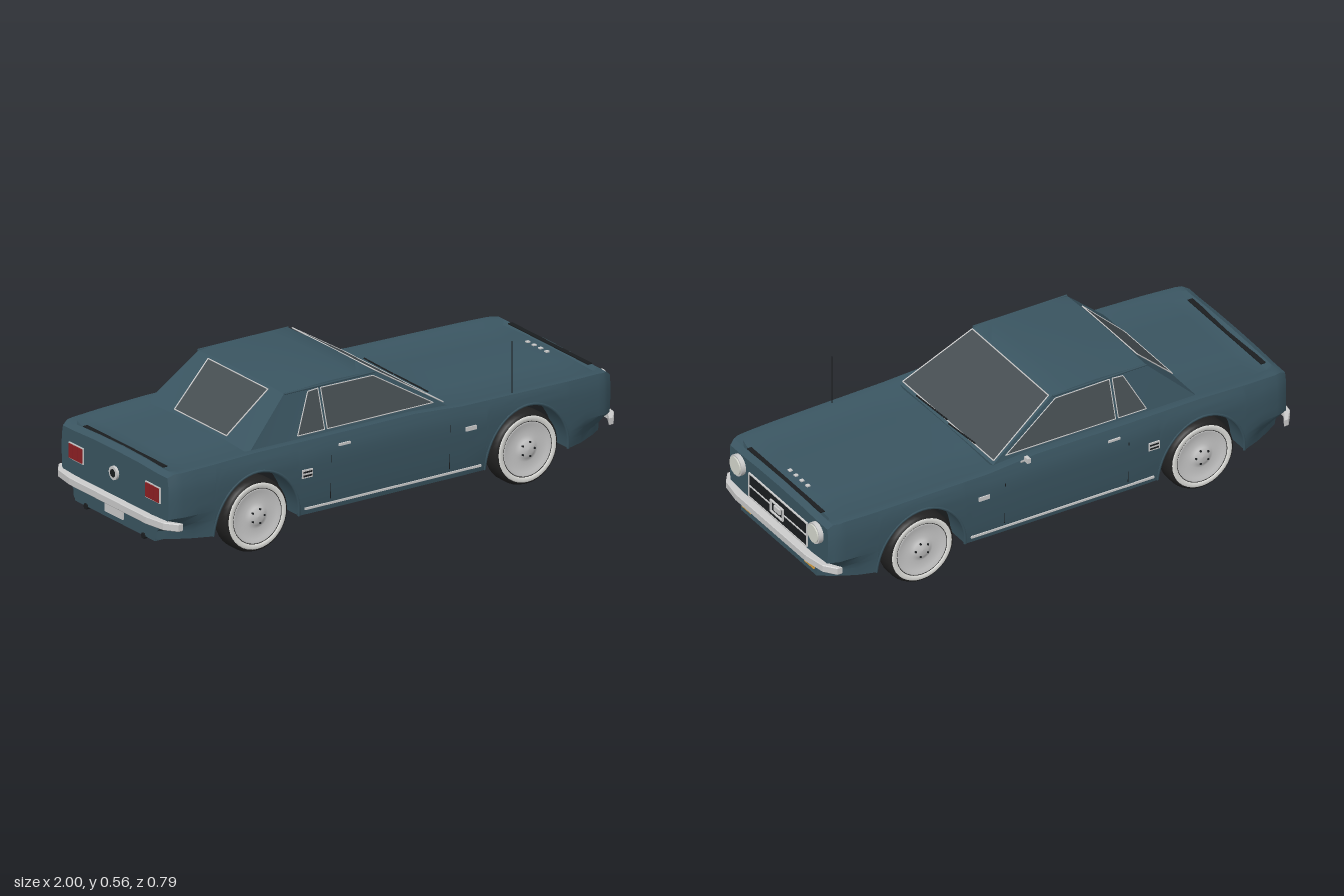
import * as THREE from 'three';
import { toCreasedNormals } from 'three/addons/utils/BufferGeometryUtils.js';

const mat = (color, side = THREE.FrontSide) => new THREE.MeshStandardMaterial({ color, side });
const paint = mat(0x3a5561), dark = mat(0x1b1e20), chrome = mat(0xcccccc), glass = mat(0x464e52, THREE.DoubleSide);
const rubber = mat(0x222222), white = mat(0xe4e4e0), amber = mat(0xd9a040), red = mat(0x8e2024), lens = mat(0xd8dad0);
const V = (x, y, z) => new THREE.Vector3(x, y, z);

// Piecewise-linear lookup in [[input, output], ...]
function lerpTable(table, t) {
  if (t <= table[0][0]) return table[0][1];
  for (let i = 1; i < table.length; i++) {
    const [a, va] = table[i - 1], [b, vb] = table[i];
    if (t <= b) return va + (vb - va) * (t - a) / (b - a);
  }
  return table[table.length - 1][1];
}

// Skin of closed cross-sections ordered along +x, with capped ends
function loft(sections, crease) {
  const pos = [], n = sections[0].length;
  const tri = (...p) => p.forEach(v => pos.push(v.x, v.y, v.z));
  for (let i = 0; i + 1 < sections.length; i++) {
    for (let j = 0; j < n; j++) {
      const k = (j + 1) % n, A = sections[i], B = sections[i + 1];
      tri(A[j], B[j], B[k]);
      tri(A[j], B[k], A[k]);
    }
  }
  [sections[0], sections[sections.length - 1]].forEach((s, end) => {
    const lo = Math.min(...s.map(p => p.y)), hi = Math.max(...s.map(p => p.y));
    const c = V(s[0].x, (lo + hi) / 2, 0);
    s.forEach((p, j) => end ? tri(c, s[(j + 1) % n], p) : tri(c, p, s[(j + 1) % n]));
  });
  const g = new THREE.BufferGeometry();
  g.setAttribute('position', new THREE.Float32BufferAttribute(pos, 3));
  return toCreasedNormals(g, crease);
}
const mirrored = half => [...half, ...half.slice(0, -1).reverse().map(p => V(p.x, p.y, -p.z))];

const axles = [-0.595, 0.585], ARCH = 0.185, FLOOR = 0.1;
const topY = x => lerpTable([[-0.965, 0.355], [-0.94, 0.368], [-0.6, 0.38], [0.1, 0.38], [0.3, 0.366], [0.9, 0.356], [0.945, 0.352], [0.965, 0.335]], x);
const halfW = x => lerpTable([[-0.965, 0.335], [-0.93, 0.355], [-0.8, 0.364], [-0.3, 0.372], [0.3, 0.372], [0.8, 0.364], [0.93, 0.355], [0.965, 0.335]], x);
function sideZ(x, y) {
  const profile = lerpTable([[0.1, 0.965], [0.15, 0.985], [0.25, 1], [0.31, 1], [0.345, 0.985], [0.38, 0.955]], y);
  const tuck = lerpTable([[0.8, 0], [0.95, 0.2]], Math.abs(x)) * lerpTable([[0.14, 1], [0.19, 0]], y);
  return halfW(x) * profile * (1 - tuck);
}

function bodyGeometry() {
  const stations = [-0.965, -0.94, -0.915, -0.85, -0.3, -0.1, 0.1, 0.3, 0.84, 0.9, 0.925, 0.945, 0.965].map(x => [x, FLOOR]);
  for (const cx of axles) {
    for (let i = 0; i <= 18; i++) {
      const a = Math.PI * i / 18;
      stations.push([cx - ARCH * Math.cos(a), FLOOR + 0.212 * Math.sin(a)]);
    }
  }
  stations.sort((a, b) => a[0] - b[0]);
  return loft(stations.map(([x, lo]) => {
    const hi = topY(x), half = [V(x, lo, 0.25)];
    for (let j = 0; j <= 8; j++) {
      const y = lo + (hi - lo) * j / 8;
      half.push(V(x, y, sideZ(x, y)));
    }
    const w = halfW(x), drop = Math.abs(x) > 0.93 ? 0 : 0.012;
    half.push(V(x, hi, w - 0.045), V(x, hi - drop, w - 0.075), V(x, hi - drop + 0.005, 0.15), V(x, hi - drop + 0.007, 0));
    return mirrored(half);
  }), 0.5);
}

// Cabin: base y and width are fixed, the upper edge follows [x, y, half width, crown]
function cabinGeometry() {
  const upper = [[-0.605, 0.366, 0.319, 0.001], [-0.415, 0.54, 0.268, 0.008], [-0.3, 0.546, 0.267, 0.009], [-0.2, 0.548, 0.266, 0.009], [-0.1, 0.546, 0.267, 0.008], [-0.02, 0.541, 0.268, 0.006], [0.26, 0.366, 0.319, 0.001]];
  return loft(upper.map(([x, y, z, c]) => mirrored([V(x, 0.35, 0.322), V(x, y, z), V(x, y + c * 0.8, z * 0.55), V(x, y + c, 0)])), 0.5);
}

export function createModel() {
  const root = new THREE.Group();
  const car = new THREE.Group();
  car.name = 'car';
  car.position.z = 0.0175;
  root.add(car);

  const add = (name, geo, material, x = 0, y = 0, z = 0, parent = car) => {
    const m = new THREE.Mesh(geo, material);
    m.name = name;
    m.position.set(x, y, z);
    parent.add(m);
    return m;
  };
  const box = (name, material, w, h, d, x, y, z) => add(name, new THREE.BoxGeometry(w, h, d), material, x, y, z);
  const rod = (name, a, b, r, material) => {
    const m = add(name, new THREE.CylinderGeometry(r, r, a.distanceTo(b), 6), material);
    m.position.copy(a).add(b).multiplyScalar(0.5);
    m.quaternion.setFromUnitVectors(V(0, 1, 0), b.clone().sub(a).normalize());
    return m;
  };
  // Disc facing along the car
  const disc = (name, r, depth, material, x, y, z) => {
    const m = add(name, new THREE.CylinderGeometry(r, r, depth, 28), material, x, y, z);
    m.rotation.z = Math.PI / 2;
    return m;
  };
  // Flat pane with a bright surround
  const pane = (name, pts, trim = 0.0025) => {
    const g = new THREE.BufferGeometry().setFromPoints(pts);
    g.setIndex(pts.slice(2).flatMap((_, i) => [0, i + 1, i + 2]));
    g.computeVertexNormals();
    add(name, g, glass);
    pts.forEach((p, i) => rod(name + 'Trim', p, pts[(i + 1) % pts.length], trim, chrome));
  };

  // Body shell, cabin and underside
  add('body', bodyGeometry(), paint);
  add('cabin', cabinGeometry(), paint);
  box('chassis', dark, 1.89, 0.2, 0.51, 0, 0.198, 0);
  box('floor', dark, 0.77, 0.03, 0.7, -0.005, 0.112, 0);
  box('rearDeckGap', dark, 0.02, 0.004, 0.5, -0.921, 0.366, 0);
  box('hoodGap', dark, 0.018, 0.004, 0.5, 0.935, 0.356, 0);

  // Windshield and rear window
  pane('windshield', [V(0.252, 0.378, 0.31), V(-0.01, 0.541, 0.26), V(-0.01, 0.541, -0.26), V(0.252, 0.378, -0.31)]);
  pane('rearWindow', [V(-0.592, 0.386, 0.163), V(-0.592, 0.386, -0.163), V(-0.428, 0.537, -0.187), V(-0.428, 0.537, 0.187)]);
  rod('wiper', V(0.262, 0.381, 0.2), V(0.256, 0.386, 0.0), 0.003, dark);
  rod('wiper', V(0.262, 0.381, -0.02), V(0.256, 0.388, -0.19), 0.003, dark);

  for (const s of [1, -1]) {
    // Side glass lies just off the sloping cabin wall
    const wall = (x, y) => V(x, y, s * (0.3225 - (y - 0.366) * 0.295));
    pane('quarterWindow', [wall(-0.388, 0.388), wall(-0.315, 0.53), wall(-0.27, 0.533), wall(-0.27, 0.388)], 0.002);
    pane('doorWindow', [wall(-0.258, 0.388), wall(-0.258, 0.533), wall(-0.03, 0.53), wall(0.205, 0.388)], 0.002);
    rod('roofRail', wall(-0.415, 0.541), wall(-0.02, 0.541), 0.004, paint);

    // Flank details
    const flank = (name, material, w, h, x, y) => box(name, material, w, h, 0.01, x, y, s * sideZ(x, y));
    flank('doorHandle', chrome, 0.05, 0.009, -0.22, 0.34);
    flank('fenderBadge', chrome, 0.045, 0.016, 0.33, 0.28);
    flank('sideVent', chrome, 0.045, 0.032, -0.385, 0.262);
    for (const dy of [-0.007, 0.007]) box('ventSlot', dark, 0.038, 0.006, 0.004, -0.385, 0.262 + dy, s * 0.3755);
    flank('sillTrim', chrome, 0.77, 0.008, -0.005, 0.124);
    for (const x of [-0.28, 0.24]) rod('doorSeam', V(x, 0.14, s * 0.366), V(x, 0.31, s * 0.3715), 0.0015, dark);

    // Wheel arch lips and wheels
    for (const cx of axles) {
      const arc = [];
      for (let i = 0; i <= 18; i++) {
        const a = Math.PI * i / 18, x = cx + ARCH * Math.cos(a), y = FLOOR + 0.212 * Math.sin(a);
        arc.push(V(x, y, s * (sideZ(x, y) - 0.003)));
      }
      add('archLip', new THREE.TubeGeometry(new THREE.CatmullRomCurve3(arc), 28, 0.006, 6), paint);

      const wheel = new THREE.Group();
      wheel.name = 'wheel';
      wheel.position.set(cx, 0.14, s * 0.316);
      wheel.rotation.x = s * Math.PI / 2;
      car.add(wheel);
      const lathe = (name, pts, material) => add(name, new THREE.LatheGeometry(pts.map(p => new THREE.Vector2(...p)), 36), material, 0, 0, 0, wheel);
      lathe('tire', [[0, -0.04], [0.11, -0.046], [0.132, -0.04], [0.14, -0.022], [0.14, 0.022], [0.134, 0.038], [0.124, 0.046], [0.1, 0.044]], rubber);
      lathe('whitewall', [[0.126, 0.0445], [0.122, 0.0475], [0.108, 0.0475], [0.104, 0.04]], white);
      lathe('hubcap', [[0.106, 0.043], [0.1, 0.047], [0.09, 0.04], [0.05, 0.037], [0.035, 0.044], [0.022, 0.05], [0, 0.052]], chrome);
      for (let i = 0; i < 5; i++) {
        const a = i * Math.PI * 2 / 5;
        add('wheelNut', new THREE.CylinderGeometry(0.004, 0.004, 0.012, 6), dark, 0.028 * Math.cos(a), 0.046, 0.028 * Math.sin(a), wheel);
      }
    }

    // Front and rear lamps, exhausts
    disc('headlightRim', 0.041, 0.03, chrome, 0.968, 0.29, s * 0.265);
    disc('headlight', 0.035, 0.008, lens, 0.984, 0.29, s * 0.265);
    box('turnSignal', amber, 0.01, 0.017, 0.064, 0.966, 0.132, s * 0.214);
    box('tailLightFrame', chrome, 0.01, 0.062, 0.092, -0.964, 0.275, s * 0.24);
    for (const k of [-1, 0, 1]) box('tailLight', red, 0.012, 0.054, 0.025, -0.967, 0.275, s * 0.24 + k * 0.028);
    rod('exhaust', V(-0.97, 0.09, s * 0.18), V(-0.7, 0.095, s * 0.18), 0.012, dark);
  }

  // Grille with bright surround, crossbar and centre frame
  box('grille', dark, 0.01, 0.095, 0.394, 0.964, 0.242, 0);
  const frame = (name, hy, hz, y, x, t) => {
    for (const s of [1, -1]) {
      box(name, chrome, 0.008, t, hz * 2 + t, x, y + s * hy, 0);
      box(name, chrome, 0.008, hy * 2, t, x, y, s * hz);
    }
  };
  frame('grilleFrame', 0.0485, 0.197, 0.242, 0.968, 0.004);
  frame('centreFrame', 0.023, 0.042, 0.241, 0.974, 0.004);
  for (const s of [1, -1]) box('grilleBar', chrome, 0.006, 0.004, 0.155, 0.97, 0.241, s * 0.1195);
  box('centrePlate', chrome, 0.008, 0.02, 0.04, 0.972, 0.241, 0);
  for (let i = 0; i < 4; i++) box('hoodStud', chrome, 0.014, 0.005, 0.014, 0.885, 0.353, -0.0675 + i * 0.04);

  // Bumpers wrap the corners; the rear one is the front one turned round
  const half = [[1, 0.24], [0.985, 0.33], [0.95, 0.376], [0.93, 0.376], [0.962, 0.32], [0.968, 0.24]];
  const outline = [...half, ...half.slice().reverse().map(([x, z]) => [x, -z])];
  const bumperGeo = new THREE.ExtrudeGeometry(new THREE.Shape(outline.map(p => new THREE.Vector2(...p))), { depth: 0.024, bevelEnabled: true, bevelSize: 0.003, bevelThickness: 0.003, bevelOffset: -0.003, bevelSegments: 1 });
  bumperGeo.rotateX(-Math.PI / 2);
  add('frontBumper', bumperGeo, chrome, 0, 0.163, 0);
  add('rearBumper', bumperGeo, chrome, 0, 0.163, 0).rotation.y = Math.PI;

  // Tail: filler cap, plate and lower valance
  disc('fuelCap', 0.026, 0.014, chrome, -0.968, 0.275, 0);
  disc('fuelCapCentre', 0.015, 0.006, dark, -0.974, 0.275, 0);
  box('licensePlate', chrome, 0.008, 0.04, 0.11, -0.968, 0.132, 0);
  box('rearValance', paint, 0.05, 0.03, 0.5, -0.94, 0.105, 0);

  // Aerial and door mirror
  rod('antenna', V(0.53, 0.35, 0.3425), V(0.53, 0.56, 0.3425), 0.0015, dark);
  rod('mirrorArm', V(0.165, 0.365, -0.352), V(0.165, 0.395, -0.39), 0.004, chrome);
  box('mirror', chrome, 0.014, 0.02, 0.024, 0.165, 0.402, -0.4);
  return root;
}
